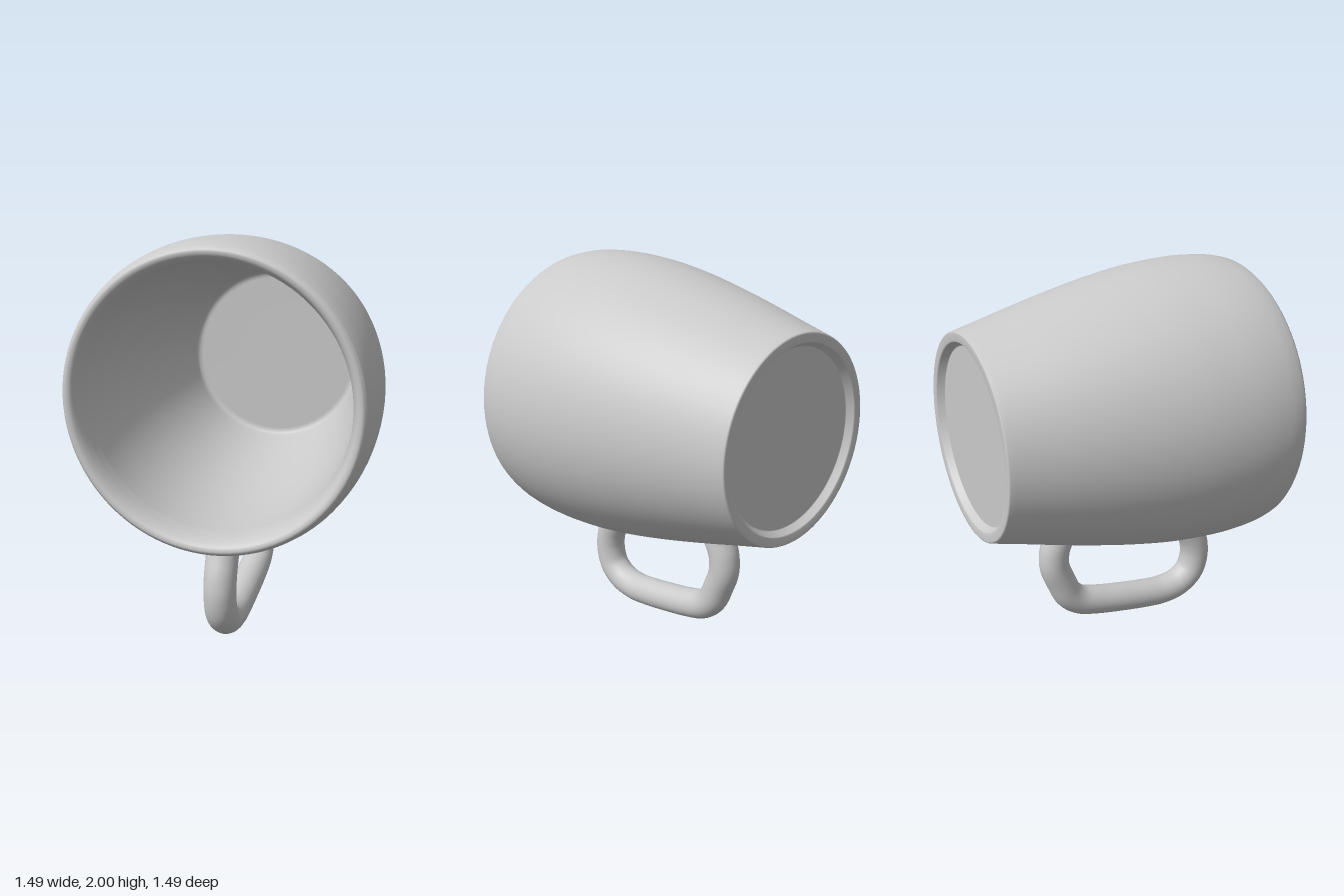
import * as THREE from 'three';

const AXIS_Y = 1.254;

const v2 = (list) => list.map(([r, h]) => new THREE.Vector2(r, h));
const smooth = (list, n) => new THREE.SplineCurve(v2(list)).getPoints(n);

// Lathed cup: radius and height along the cup's own axis
function makeBody(material) {
  const underside = v2([[0, -0.705], [0.444, -0.705], [0.45, -0.706], [0.468, -0.738],
    [0.474, -0.744], [0.512, -0.745], [0.518, -0.743]]);
  const outside = smooth([[0.521, -0.738], [0.563, -0.57], [0.607, -0.4], [0.655, -0.2],
    [0.697, 0], [0.729, 0.2], [0.744, 0.38], [0.746, 0.52], [0.737, 0.64], [0.724, 0.705]], 44);
  const rim = smooth([[0.717, 0.727], [0.704, 0.742], [0.69, 0.745], [0.672, 0.737],
    [0.656, 0.71], [0.646, 0.67]], 16);
  const inside = smooth([[0.641, 0.62], [0.642, 0.5], [0.639, 0.38], [0.626, 0.2],
    [0.599, 0], [0.563, -0.2], [0.522, -0.4], [0.481, -0.58]], 36);
  const floor = v2([[0.476, -0.6], [0.469, -0.612], [0.455, -0.618], [0.44, -0.62], [0, -0.62]]);
  const geometry = new THREE.LatheGeometry(
    [...underside, ...outside, ...rim, ...inside, ...floor], 96);
  geometry.rotateX(Math.PI / 2); // opening faces the front
  const body = new THREE.Mesh(geometry, material);
  body.name = 'cupBody';
  body.position.y = AXIS_Y;
  return body;
}

// Bent round handle under the cup, flared slightly where it meets the wall
function makeHandle(material) {
  const points = [[0.51, 0.55], [0.52, 0.5], [0.54, 0.445], [0.572, 0.36], [0.582, 0.27],
    [0.555, 0.17], [0.48, 0.105], [0.37, 0.081], [0.24, 0.09], [0.1, 0.11], [-0.05, 0.137],
    [-0.16, 0.17], [-0.225, 0.225], [-0.27, 0.32], [-0.305, 0.42], [-0.303, 0.51],
    [-0.278, 0.59], [-0.263, 0.65]];
  const path = new THREE.CatmullRomCurve3(points.map(([z, y]) => new THREE.Vector3(0, y, z)));
  const rings = 90, sides = 28;
  const geometry = new THREE.TubeGeometry(path, rings, 0.081, sides, false);
  const pos = geometry.attributes.position;
  const length = path.getLength();
  const p = new THREE.Vector3();
  for (let i = 0; i <= rings; i++) {
    const t = i / rings;
    const fromEnd = Math.min(t, 1 - t) * length;
    const flare = t < 0.5 ? 0.08 : 0.3;
    const scale = 1 + flare * Math.exp(-Math.pow(fromEnd / 0.05, 2));
    const centre = path.getPointAt(t);
    for (let j = 0; j <= sides; j++) {
      const k = i * (sides + 1) + j;
      p.fromBufferAttribute(pos, k).sub(centre).multiplyScalar(scale).add(centre);
      pos.setXYZ(k, p.x, p.y, p.z);
    }
  }
  const handle = new THREE.Mesh(geometry, material);
  handle.name = 'handle';
  return handle;
}

export function createModel() {
  const ceramic = new THREE.MeshStandardMaterial({ color: 0xcacaca });
  ceramic.name = 'grey ceramic';
  const group = new THREE.Group();
  group.name = 'mug';
  group.add(makeBody(ceramic), makeHandle(ceramic));
  return group;
}
